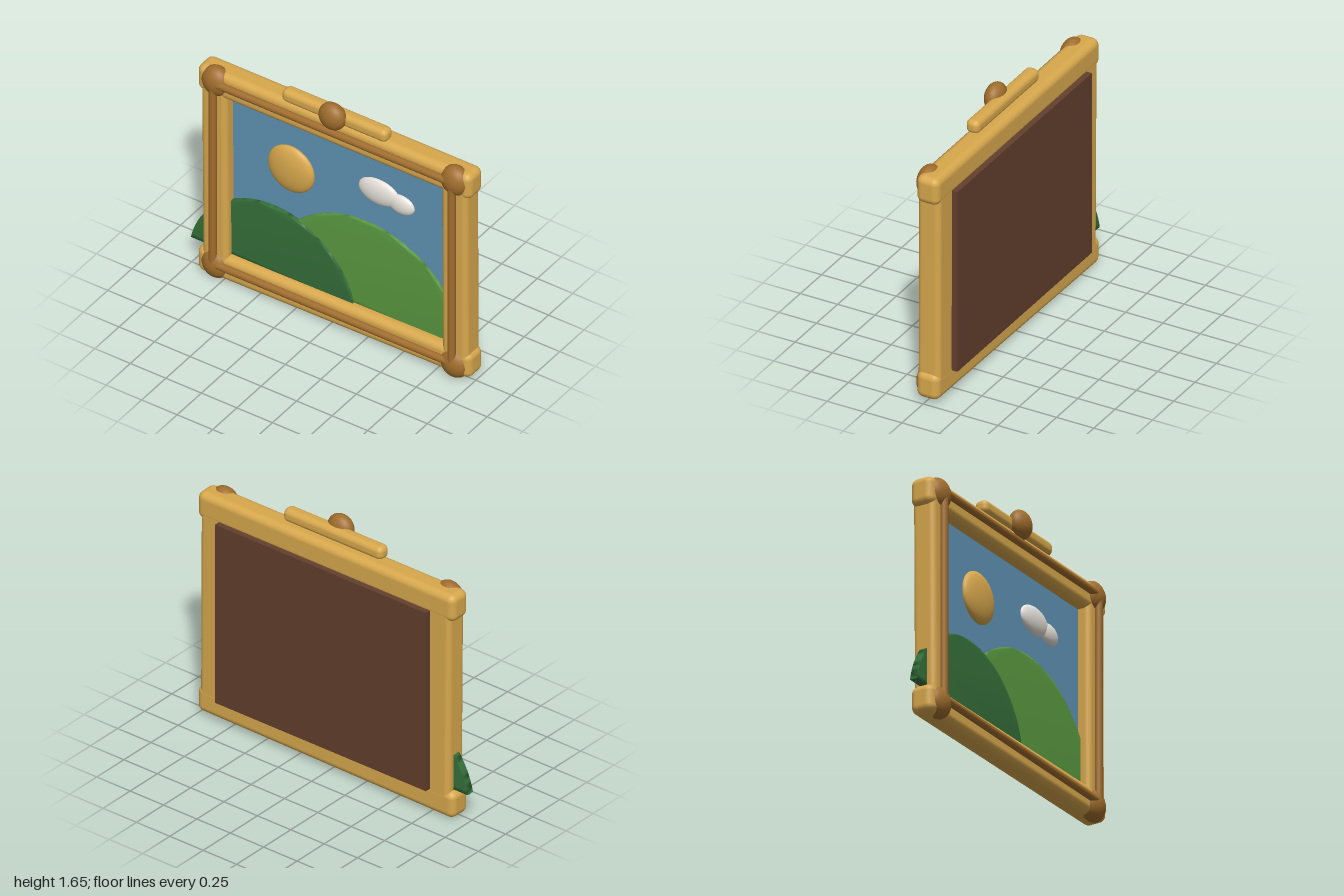
import * as THREE from 'three';
import { mergeVertices } from 'three/addons/utils/BufferGeometryUtils.js';
import { RoundedBoxGeometry } from 'three/addons/geometries/RoundedBoxGeometry.js';

const material = (name, color) => {
  const m = new THREE.MeshStandardMaterial({ color });
  m.name = name;
  return m;
};

export function createModel() {
  const gold = material('gold', 0xd8a84d);
  const bronze = material('bronze', 0xa06d2d);
  const wood = material('dark wood', 0x623f2d);
  const blue = material('sky blue', 0x5f93b3);
  const green = material('light green', 0x5b9a41);
  const darkGreen = material('dark green', 0x36703a);
  const white = material('cloud white', 0xe6e1da);

  const model = new THREE.Group();
  model.name = 'framedLandscape';
  const add = (name, geometry, mat, x, y, z, tilt = 0) => {
    const mesh = new THREE.Mesh(geometry, mat);
    mesh.name = name;
    mesh.position.set(x, y, z);
    mesh.rotation.z = tilt;
    model.add(mesh);
  };
  const box = (w, h, d) => new THREE.BoxGeometry(w, h, d);
  const bar = (w, h, d, r) => new RoundedBoxGeometry(w, h, d, 4, r);
  const ellipsoid = (rx, ry, rz) => new THREE.SphereGeometry(1, 32, 20).scale(rx, ry, rz);

  // Frame bars, slightly crooked as if carved by hand
  add('topRail', bar(1.925, 0.18, 0.152, 0.045), gold, 0.0325, 1.435, -0.016);
  add('bottomRail', bar(1.925, 0.176, 0.152, 0.045), gold, 0.0325, 0.112, -0.016, 0.011);
  add('rightStile', bar(0.178, 1.46, 0.15, 0.035), gold, -0.808, 0.77, -0.016, 0.008);
  add('leftStile', bar(0.18, 1.46, 0.15, 0.035), gold, 0.882, 0.77, -0.016, 0.004);

  // Round moulding and corner bosses
  const rod = (length) => new THREE.CylinderGeometry(0.025, 0.025, length, 12);
  for (const y of [0.125, 1.451]) add('horizontalMoulding', rod(1.68), bronze, 0.035, y, 0.069, Math.PI / 2);
  for (const x of [-0.805, 0.877]) {
    add('verticalMoulding', rod(1.33), bronze, x, 0.789, 0.069);
    for (const y of [0.107, 1.444]) add('cornerBoss', ellipsoid(0.096, 0.1, 0.071), bronze, x, y, 0.027);
  }

  // Crest
  add('crestBar', bar(0.74, 0.088, 0.088, 0.035), gold, 0.035, 1.557, 0.018);
  add('crestBoss', ellipsoid(0.09, 0.09, 0.062), bronze, 0.035, 1.57, 0.064);

  // Back board and sky
  add('backBoard', box(1.58, 1.21, 0.05), wood, 0.033, 0.775, -0.103);
  add('skyPanel', box(1.56, 1.2, 0.03), blue, 0.035, 0.775, -0.034);

  // Hills: thick circle segments with soft edges, cut flat a little above the circle's centre
  const hill = (radius, cut, depth) => {
    const start = Math.asin(cut / radius);
    const shape = new THREE.Shape();
    shape.absarc(0, 0, radius, start, Math.PI - start, false);
    shape.closePath();
    const geometry = new THREE.ExtrudeGeometry(shape, { depth, bevelEnabled: false, curveSegments: 28 });
    geometry.deleteAttribute('normal');
    geometry.deleteAttribute('uv');
    const soft = mergeVertices(geometry);
    soft.computeVertexNormals();
    return soft;
  };
  add('farHill', hill(0.686, 0.061, 0.046), green, 0.22, 0.139, -0.05);
  add('nearHill', hill(0.582, 0.117, 0.05), darkGreen, -0.43, 0.078, -0.042);

  // Sun and cloud
  add('sun', ellipsoid(0.162, 0.162, 0.05), gold, -0.307, 0.985, -0.014);
  add('cloudLarge', ellipsoid(0.143, 0.09, 0.04), white, 0.308, 1.08, -0.018);
  add('cloudSmall', ellipsoid(0.093, 0.067, 0.035), white, 0.465, 1.055, -0.018);

  return model;
}
